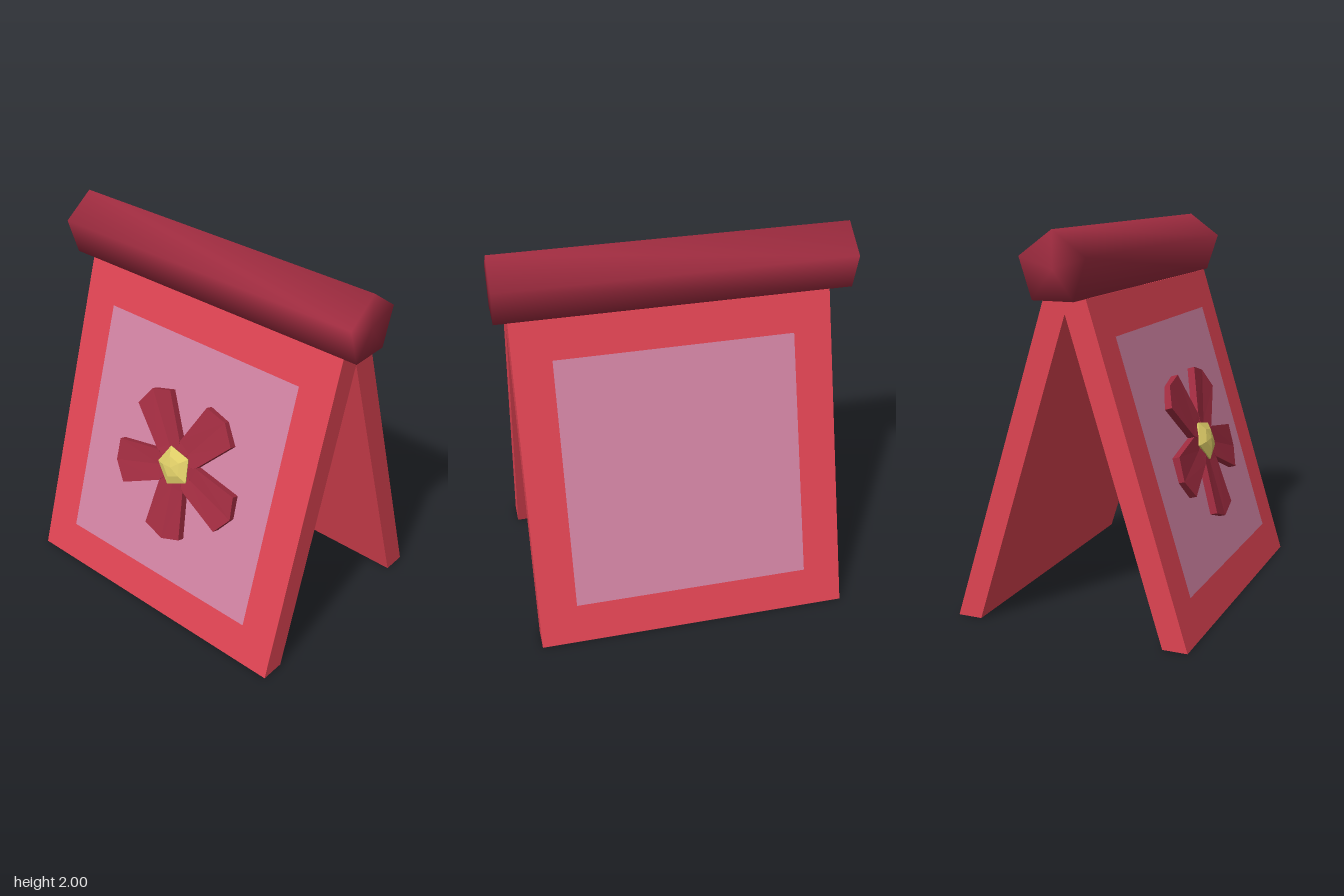
import * as THREE from 'three';
import { mergeVertices } from 'three/addons/utils/BufferGeometryUtils.js';

const paint = (color, flatShading = true) => new THREE.MeshStandardMaterial({ color, flatShading });
const RED = paint(0xde4352);
const PINK = paint(0xd082a2);
const PETAL = paint(0xa02c40);
const ROLL = paint(0xa02c40, false);
const YELLOW = paint(0xdccb66);

const TILT = Math.atan(0.52 / 1.67); // lean of each board
const COS = Math.cos(TILT);
const MID_X = 0.0275; // boards sit slightly off centre

function part(name, geometry, material) {
  const mesh = new THREE.Mesh(geometry, material);
  mesh.name = name;
  return mesh;
}

// Two leaning boards as one upside-down V, extruded across x
function boards() {
  const shape = new THREE.Shape([
    [0.63, 0], [0.11, 1.675], [-0.11, 1.675], [-0.63, 0], [-0.5, 0], [0, 1.6], [0.5, 0],
  ].map(([x, y]) => new THREE.Vector2(x, y)));
  const geo = new THREE.ExtrudeGeometry(shape, { depth: 1.67, bevelEnabled: false });
  geo.rotateY(-Math.PI / 2);
  geo.translate(MID_X + 0.835, 0, 0);
  return part('boards', geo, RED);
}

// Five-sided top bar with normals smoothed over every edge
function topRoll() {
  let geo = new THREE.CylinderGeometry(0.18, 0.18, 1.865, 5, 1, false, Math.PI / 2);
  geo.deleteAttribute('uv');
  geo.deleteAttribute('normal');
  geo = mergeVertices(geo);
  geo.computeVertexNormals();
  geo.rotateZ(Math.PI / 2);
  geo.translate(0, 1.82, 0);
  return part('topRoll', geo, ROLL);
}

// Inset panel lying on a board's outer face
function panel(name, x) {
  const geo = new THREE.PlaneGeometry(1.265, 1.275 / COS);
  geo.translate(x, 0.8375 / COS, 0.002);
  return part(name, geo, PINK);
}

// Petal along +y: a box whose three rows are widened, with a shallow groove and a pointed tip
function petalGeometry() {
  const geo = new THREE.BoxGeometry(2, 2, 1, 2, 2, 1);
  const pos = geo.attributes.position;
  const length = [0, 0.12, 0.385];
  const halfWidth = [0.01, 0.085, 0.122];
  for (let i = 0; i < pos.count; i++) {
    const side = Math.round(pos.getX(i));
    const row = Math.round(pos.getY(i)) + 1;
    const tip = row === 2 && side === 0 ? 0.045 : 0;
    const front = side === 0 ? 0.034 : 0.042;
    pos.setXYZ(i, side * halfWidth[row], length[row] + tip, pos.getZ(i) > 0 ? front : 0);
  }
  return geo;
}

function flower() {
  const group = new THREE.Group();
  group.name = 'flower';
  const geo = petalGeometry();
  for (let i = 0; i < 5; i++) {
    const petal = part('petal', geo, PETAL);
    petal.rotation.z = Math.PI + i * Math.PI * 2 / 5;
    group.add(petal);
  }
  // Faceted five-sided centre
  const profile = [[0.095, 0.02], [0.112, 0.048], [0.06, 0.07], [0, 0.078]];
  const centre = new THREE.LatheGeometry(profile.map(([r, y]) => new THREE.Vector2(r, y)), 5);
  centre.rotateX(Math.PI / 2);
  centre.rotateZ(-0.21);
  group.add(part('flowerCentre', centre, YELLOW));
  return group;
}

// Group whose xy plane is the outer face of a board
function boardFace(name, back) {
  const turn = new THREE.Group();
  turn.name = name;
  turn.rotation.y = back ? Math.PI : 0;
  const face = new THREE.Group();
  face.name = name + 'Surface';
  face.position.z = 0.63;
  face.rotation.x = -TILT;
  face.add(panel(name + 'Panel', back ? -MID_X : MID_X));
  if (!back) {
    const bloom = flower();
    bloom.position.set(0.05, 0.83 / COS, 0);
    face.add(bloom);
  }
  turn.add(face);
  return turn;
}

export function createModel() {
  const model = new THREE.Group();
  model.name = 'foldingSign';
  model.add(boards(), topRoll(), boardFace('front', false), boardFace('back', true));
  return model;
}
